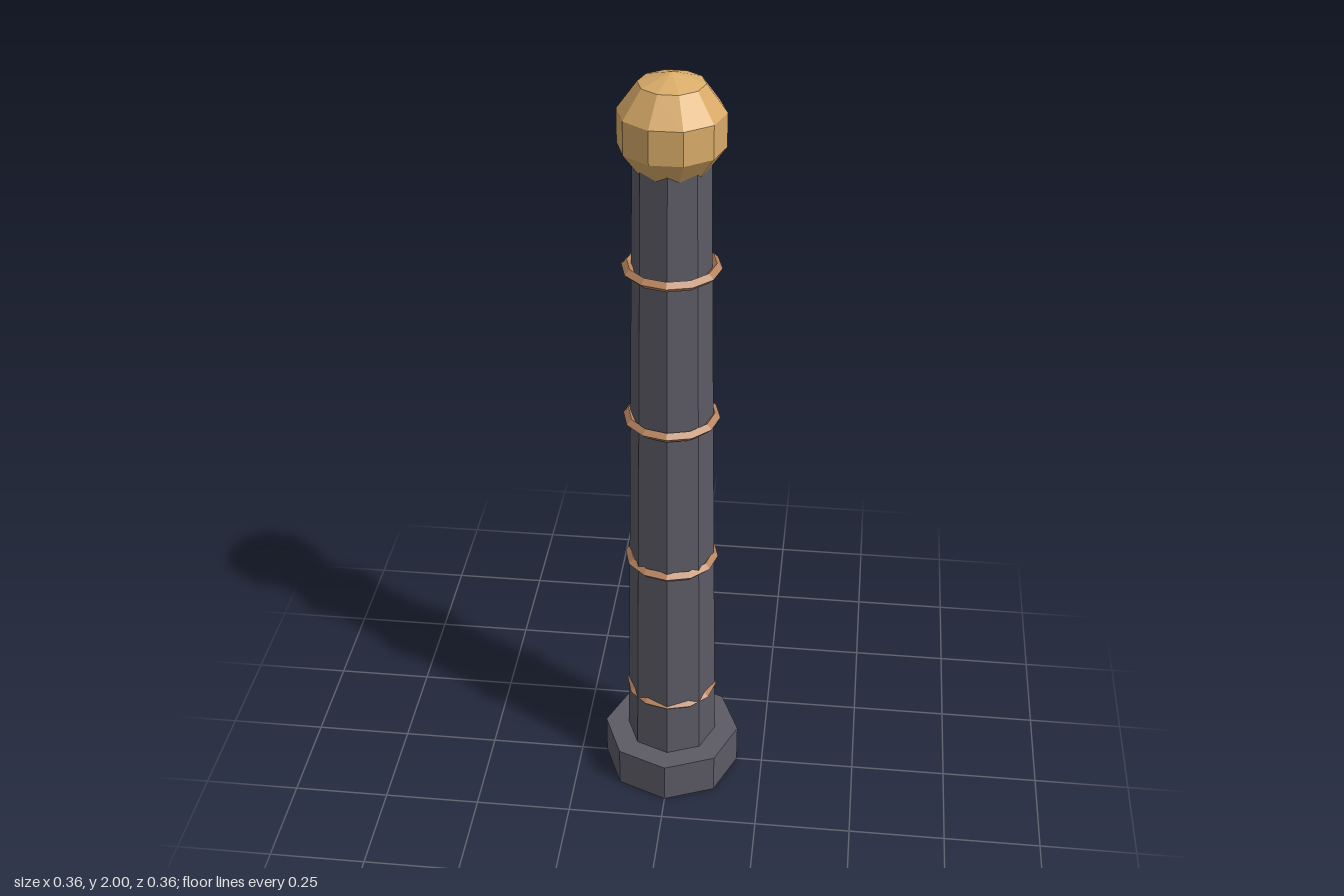
import * as THREE from 'three';

export function createModel() {
  const model = new THREE.Group();
  const iron = new THREE.MeshStandardMaterial({ color: 0x5c5a64, flatShading: true });
  const gold = new THREE.MeshStandardMaterial({ color: 0xd9ab69, flatShading: true });
  const copper = new THREE.MeshStandardMaterial({ color: 0xb8855f, flatShading: true });

  const add = (name, geometry, material, y) => {
    const mesh = new THREE.Mesh(geometry, material);
    mesh.name = name;
    mesh.position.y = y;
    model.add(mesh);
    return mesh;
  };

  // Octagonal foot, its corners on the axes
  add('base', new THREE.CylinderGeometry(0.181, 0.181, 0.11, 8), iron, 0.055);

  // Tapering octagonal shaft, running up into the ball
  const bottom = 0.11, top = 1.85;
  add('shaft', new THREE.CylinderGeometry(0.091, 0.119, top - bottom, 8), iron, (bottom + top) / 2);

  // Equal bands; the lowest is half sunk into the wider shaft
  [0.265, 0.69, 1.11, 1.52].forEach((y, i) => {
    const band = new THREE.TorusGeometry(0.107, 0.013, 4, 12);
    band.rotateX(Math.PI / 2);
    add('band' + (i + 1), band, copper, y);
  });

  // Faceted ball finial
  const r = 0.1325;
  add('finial', new THREE.SphereGeometry(r, 10, 5), gold, 2 - r);

  return model;
}
